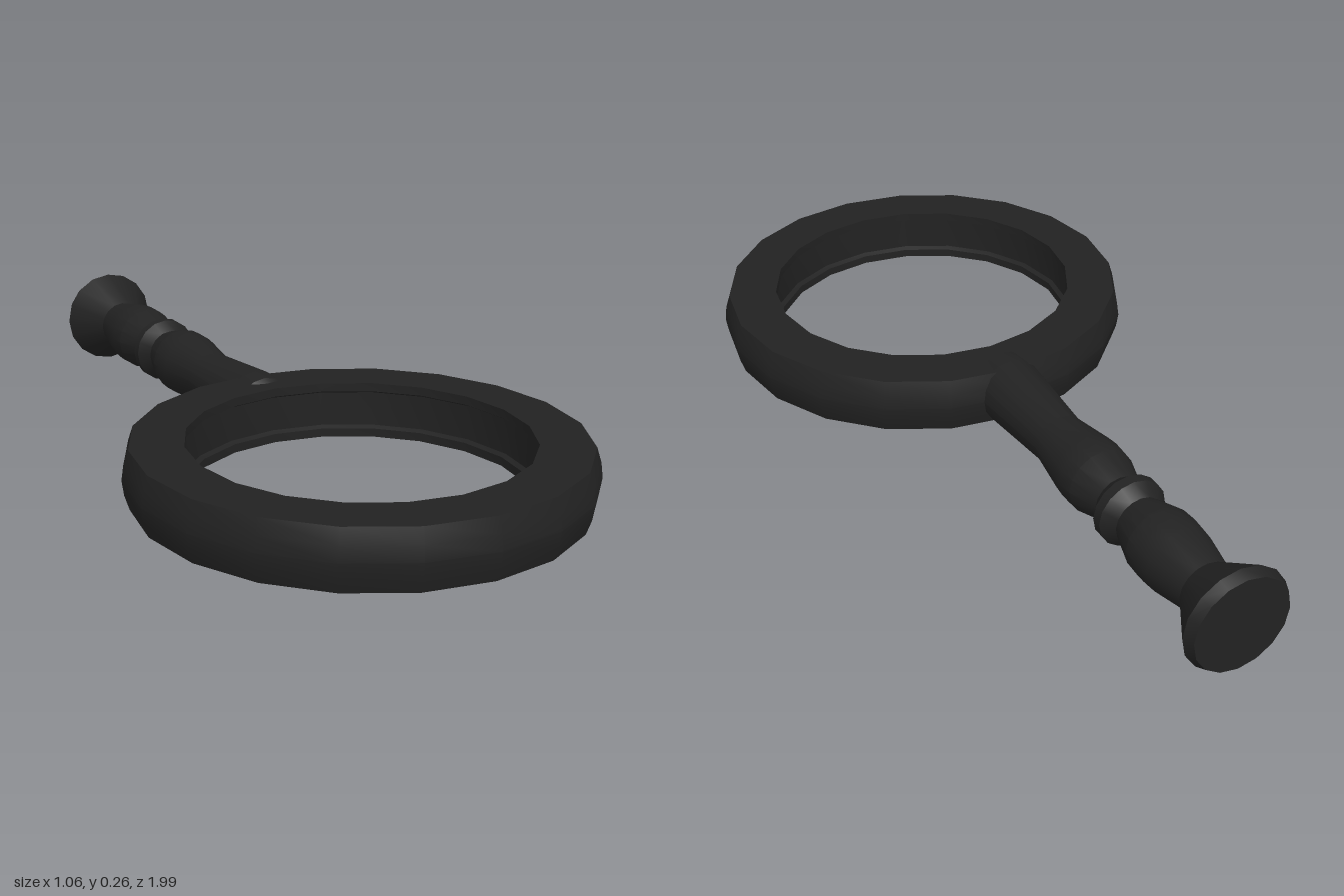
import * as THREE from 'three';
import { toCreasedNormals } from 'three/addons/utils/BufferGeometryUtils.js';

const MID_Y = 0.128; // height of the handle axis and the ring's middle

// Turned part from [radius, height] pairs
function turned(name, profile, sides, material) {
  const points = profile.map(([r, h]) => new THREE.Vector2(r, h));
  const geometry = toCreasedNormals(new THREE.LatheGeometry(points, sides), 0.42);
  const mesh = new THREE.Mesh(geometry, material);
  mesh.name = name;
  return mesh;
}

export function createModel() {
  const group = new THREE.Group();
  group.name = 'handheldRing';
  const black = new THREE.MeshStandardMaterial({ color: 0x222222 });

  // Ring: bowed outer wall, flat rims, shallow recess inside
  const ring = turned('ring', [
    [0.512, -0.069], [0.523, -0.035], [0.528, 0], [0.523, 0.035], [0.512, 0.069],
    [0.39, 0.069], [0.39, 0.048], [0.402, 0.042],
    [0.402, -0.042], [0.39, -0.048], [0.39, -0.069], [0.512, -0.069],
  ], 20, black);
  ring.position.set(0, MID_Y, 0.465);

  // Handle: runs backwards from the ring, height measured along -z
  const handle = turned('handle', [
    [0, -0.035], [0.066, -0.035], [0.08, -0.02], [0.084, 0.03],
    [0.066, 0.275], [0.083, 0.39], [0.086, 0.42], [0.084, 0.46],
    [0.061, 0.535], [0.085, 0.565], [0.085, 0.59], [0.061, 0.62],
    [0.084, 0.695], [0.086, 0.735], [0.083, 0.775], [0.064, 0.87],
  ], 16, black);

  // Flared pommel closed by a flat disc
  const pommel = turned('pommel', [
    [0.064, 0.87], [0.128, 0.975], [0.117, 1], [0, 1],
  ], 16, black);

  for (const part of [handle, pommel]) {
    part.rotation.x = -Math.PI / 2;
    part.position.y = MID_Y;
  }

  group.add(ring, handle, pommel);
  return group;
}
